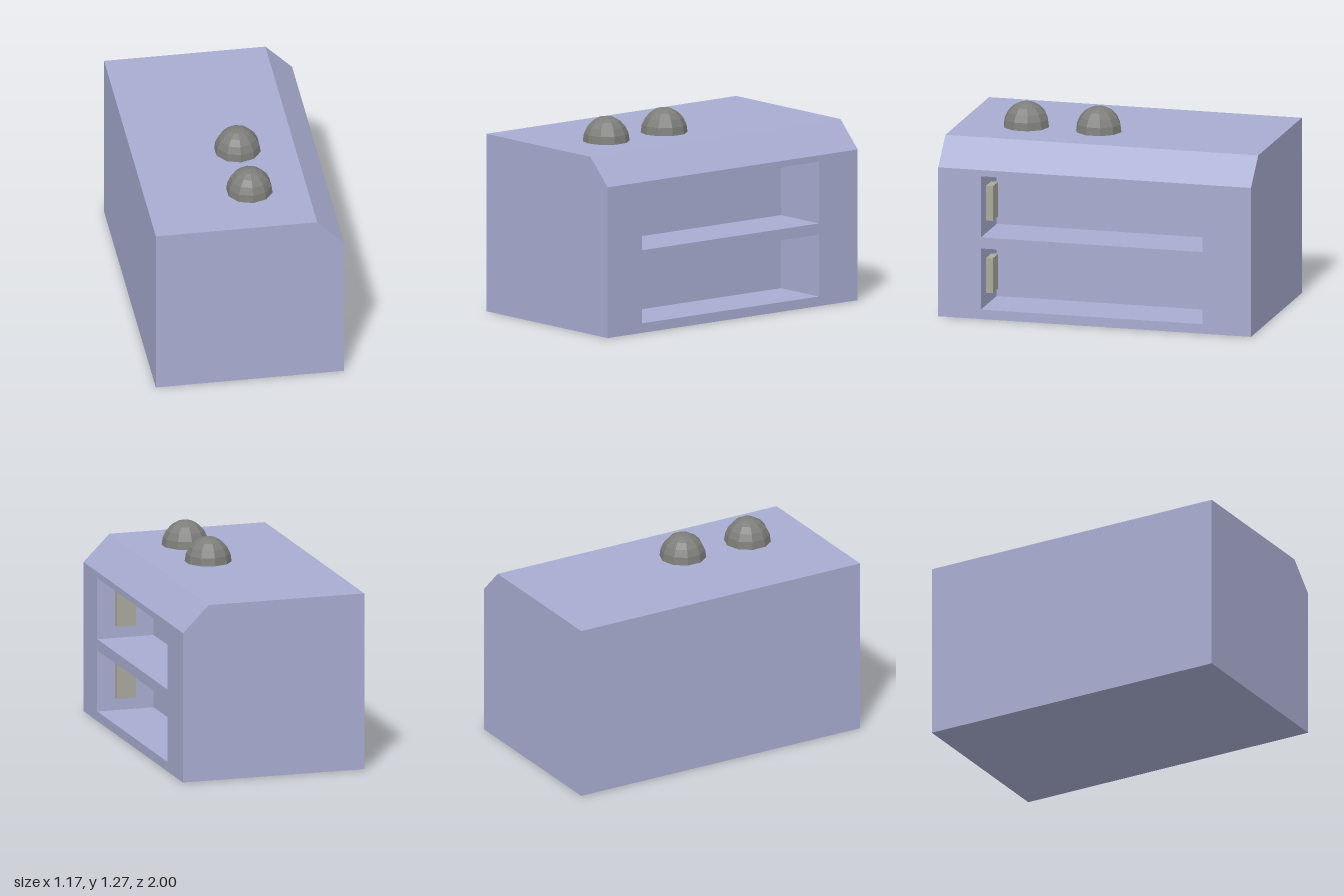
import * as THREE from 'three';
import { mergeGeometries } from 'three/addons/utils/BufferGeometryUtils.js';

const HALF_W = 0.587, HALF_L = 1, TOP = 1.112, SHOULDER = 0.945, CHAMFER_X = 0.42;
const BAY = { z0: -0.69, z1: 0.727, height: 0.388, depth: 0.366 };
const BAY_FLOORS = [0.06, 0.518];

const paint = (color) => new THREE.MeshStandardMaterial({ color, flatShading: true });

// Chamfered block without its +x side, which the pierced panel replaces
function shellGeometry() {
  const profile = new THREE.Shape([
    [-HALF_W, 0], [HALF_W, 0], [HALF_W, SHOULDER], [CHAMFER_X, TOP], [-HALF_W, TOP],
  ].map(([x, y]) => new THREE.Vector2(x, y)));
  const block = new THREE.ExtrudeGeometry(profile, { depth: 2 * HALF_L, bevelEnabled: false });
  block.translate(0, 0, -HALF_L);
  const p = block.attributes.position, kept = [];
  for (let i = 0; i < p.count; i += 3) {
    const onSide = [0, 1, 2].every((k) => p.getX(i + k) > HALF_W - 1e-4);
    if (!onSide) kept.push(...p.array.slice(i * 3, i * 3 + 9));
  }
  const g = new THREE.BufferGeometry();
  g.setAttribute('position', new THREE.Float32BufferAttribute(kept, 3));
  return g;
}

// Side panel with two rectangular openings, drawn in (-z, y)
function panelGeometry() {
  const rect = (Type, u0, u1, v0, v1) => new Type([
    new THREE.Vector2(u0, v0), new THREE.Vector2(u1, v0),
    new THREE.Vector2(u1, v1), new THREE.Vector2(u0, v1),
  ]);
  const panel = rect(THREE.Shape, -HALF_L, HALF_L, 0, SHOULDER);
  for (const y of BAY_FLOORS) panel.holes.push(rect(THREE.Path, -BAY.z1, -BAY.z0, y, y + BAY.height));
  return new THREE.ShapeGeometry(panel).rotateY(Math.PI / 2).translate(HALF_W, 0, 0);
}

// Recess: a box turned inside out, with its +x face removed
function bayGeometry(y) {
  const g = new THREE.BoxGeometry(BAY.depth, BAY.height, BAY.z1 - BAY.z0);
  g.setIndex(Array.from(g.index.array).slice(6).reverse());
  return g.translate(HALF_W - BAY.depth / 2, y + BAY.height / 2, (BAY.z0 + BAY.z1) / 2);
}

function plain(geometry) {
  const g = geometry.index ? geometry.toNonIndexed() : geometry;
  g.deleteAttribute('uv');
  g.computeVertexNormals();
  return g;
}

export function createModel() {
  const model = new THREE.Group();
  const add = (name, geometry, material, x = 0, y = 0, z = 0) => {
    const mesh = new THREE.Mesh(geometry, material);
    mesh.name = name;
    mesh.position.set(x, y, z);
    model.add(mesh);
    return mesh;
  };

  // Cabinet with its two open bays
  const parts = [shellGeometry(), panelGeometry(), ...BAY_FLOORS.map(bayGeometry)];
  add('cabinet', mergeGeometries(parts.map(plain)), paint(0xa8acd0));

  // Small plate on the front end wall of each bay
  const plateMaterial = paint(0xaaa99c);
  BAY_FLOORS.forEach((y, i) => {
    add(i ? 'upperBayPlate' : 'lowerBayPlate', new THREE.BoxGeometry(0.123, 0.22, 0.044),
      plateMaterial, 0.41, y + 0.19, BAY.z1 - 0.022);
  });

  // Ten-sided domes on top
  const domeMaterial = paint(0x7d7d7a);
  const dome = new THREE.SphereGeometry(0.145, 10, 5, 0, Math.PI * 2, 0, Math.PI / 2)
    .rotateY(Math.PI / 2).scale(1, 1.08, 1);
  add('frontDome', dome, domeMaterial, 0.065, TOP, 0.58);
  add('middleDome', dome, domeMaterial, 0.065, TOP, 0.117);

  return model;
}
